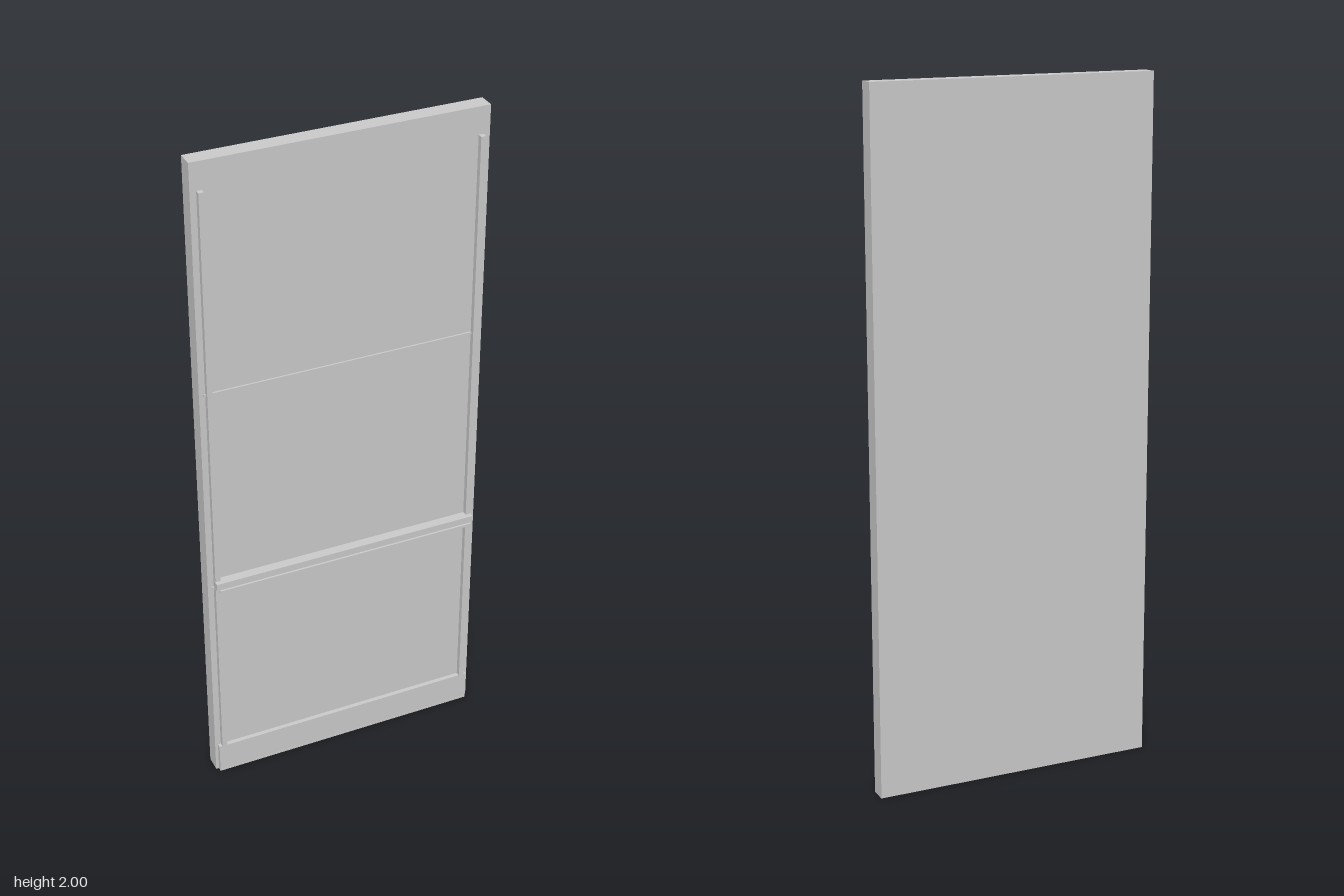
import * as THREE from 'three';

export function createModel() {
  const group = new THREE.Group();
  const grey = new THREE.MeshStandardMaterial({ color: 0xcccccc });

  // Box given by its lower and upper limits on each axis
  function box(name, [x0, x1], [y0, y1], [z0, z1]) {
    const mesh = new THREE.Mesh(new THREE.BoxGeometry(x1 - x0, y1 - y0, z1 - z0), grey);
    mesh.name = name;
    mesh.position.set((x0 + x1) / 2, (y0 + y1) / 2, (z0 + z1) / 2);
    group.add(mesh);
  }

  const face = 0.007; // front of the door leaf

  // Door leaf and kick plate
  box('doorLeaf', [-0.42, 0.42], [0, 2], [-0.042, face]);
  box('kickPlate', [-0.411, 0.411], [0.003, 0.095], [face, 0.02]);
  box('kickPlateEdge', [-0.411, 0.411], [0, 0.006], [face, 0.0205]);

  // Vertical rails
  for (const side of [-1, 1]) {
    const a = side * 0.387, b = side * 0.402;
    box(side > 0 ? 'leftRail' : 'rightRail', [Math.min(a, b), Math.max(a, b)], [0.09, 1.92], [face, 0.022]);
  }

  // Thin horizontal seams
  for (const y of [0.683, 1.323]) {
    box('seamStrip', [-0.408, 0.408], [y - 0.003, y + 0.003], [face, 0.012]);
  }

  // Cross bar with a narrow lip along its front
  box('crossBar', [-0.403, 0.403], [0.688, 0.71], [face, 0.036]);
  box('crossBarLip', [-0.395, 0.395], [0.681, 0.685], [0.038, 0.042]);
  box('lipWeb', [-0.395, 0.395], [0.685, 0.689], [0.034, 0.042]);

  // Pull handle below the bar
  box('pullHandle', [-0.168, 0.168], [0.667, 0.682], [face, 0.02]);

  return group;
}
